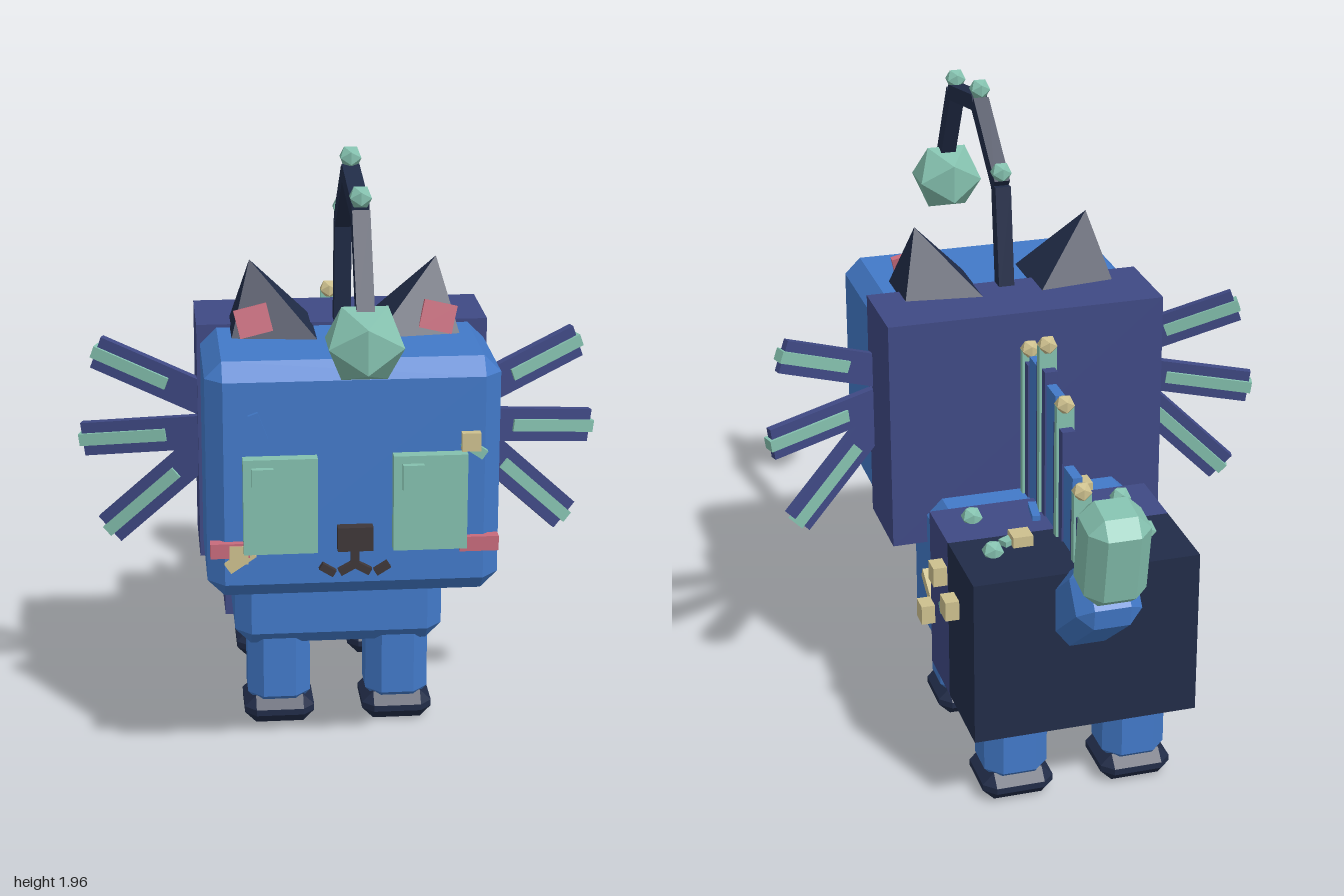
import * as THREE from 'three';
import { ConvexGeometry } from 'three/addons/geometries/ConvexGeometry.js';

export function createModel() {
  const model = new THREE.Group();
  model.name = 'robotCat';
  const mat = (name, color) => {
    const m = new THREE.MeshStandardMaterial({ color });
    m.name = name;
    return m;
  };
  const blue = mat('blue', 0x4279c8);
  const indigo = mat('indigo', 0x3f4984);
  const navy = mat('navy', 0x212c48);
  const teal = mat('teal', 0x84c0ae);
  const sand = mat('sand', 0xcdc08e);
  const pink = mat('pink', 0xc76a7b);
  const brown = mat('brown', 0x3e3638);

  const add = (name, geo, m, pos, rot = [0, 0, 0], parent = model) => {
    const mesh = new THREE.Mesh(geo, m);
    mesh.name = name;
    mesh.position.set(...pos);
    mesh.rotation.set(...rot);
    parent.add(mesh);
    return mesh;
  };
  const box = (name, size, m, pos, rot, parent) =>
    add(name, new THREE.BoxGeometry(...size), m, pos, rot, parent);
  const gem = (name, r, m, pos) => add(name, new THREE.IcosahedronGeometry(r, 0), m, pos);

  // Box with every edge cut by a single chamfer
  const chamferBox = (w, h, d, c) => {
    const pts = [];
    for (const sx of [-1, 1]) for (const sy of [-1, 1]) for (const sz of [-1, 1])
      for (let axis = 0; axis < 3; axis++) {
        const cut = [c, c, c];
        cut[axis] = 0;
        pts.push(new THREE.Vector3(sx * (w / 2 - cut[0]), sy * (h / 2 - cut[1]), sz * (d / 2 - cut[2])));
      }
    return new ConvexGeometry(pts);
  };

  // Square bar between two points
  const bar = (name, a, b, w, d, m) => {
    const p = new THREE.Vector3(...a), q = new THREE.Vector3(...b);
    const dir = q.clone().sub(p);
    const mesh = box(name, [w, dir.length(), d], m, p.clone().add(q).multiplyScalar(0.5).toArray());
    mesh.quaternion.setFromUnitVectors(new THREE.Vector3(0, 1, 0), dir.normalize());
    return mesh;
  };

  // Body
  add('body', chamferBox(0.66, 0.5, 0.6, 0.05), blue, [0, 0.53, -0.16]);
  box('bodyBand', [0.7, 0.53, 0.22], indigo, [0, 0.535, -0.285]);
  box('rump', [0.7, 0.53, 0.29], navy, [0, 0.535, -0.535]);

  // Head
  add('head', chamferBox(0.86, 0.72, 0.55, 0.05), blue, [0, 1.007, 0.35]);
  box('headBack', [0.88, 0.742, 0.28], indigo, [0, 1.006, 0.08]);

  for (const s of [-1, 1]) {
    // Legs and feet
    for (const [end, z] of [['front', 0.01], ['back', -0.515]]) {
      add(end + 'Leg', chamferBox(0.2, 0.32, 0.2, 0.048), blue, [s * 0.19, 0.21, z]);
      add(end + 'Foot', chamferBox(0.224, 0.092, 0.224, 0.036), navy, [s * 0.19, 0.046, z]);
    }

    // Ears, leaning outward
    const ear = new THREE.ConeGeometry(0.195, 0.25, 4, 1).rotateY(Math.PI / 4).toNonIndexed();
    ear.computeVertexNormals();
    add('ear', ear, navy, [s * 0.251, 1.458, 0.235], [0, 0, -s * 0.23]);
    box('innerEar', [0.1, 0.085, 0.02], pink, [s * 0.275, 1.418, 0.334], [-0.2, 0, -s * 0.23]);

    // Eyes and cheeks
    box('eye', [0.216, 0.29, 0.05], teal, [s * 0.218, 0.95, 0.637]);
    box('eyeGlint', [0.062, 0.078, 0.02], teal, [s * 0.218 - 0.052, 1.033, 0.671]);
    box('cheek', [0.115, 0.045, 0.035], pink, [s * 0.365, 0.812, 0.628]);

    // Mouth
    bar('mouthInner', [0, 0.758, 0.633], [s * 0.045, 0.733, 0.633], 0.022, 0.022, brown);
    bar('mouthOuter', [s * 0.06, 0.73, 0.633], [s * 0.1, 0.755, 0.633], 0.022, 0.022, brown);

    // Fan of whisker plates, swept backward
    for (const [y, angle, len] of [[1.136, 0.36, 0.36], [1.03, -0.13, 0.39], [0.977, -0.75, 0.42]]) {
      const whisker = new THREE.Group();
      whisker.name = 'whisker';
      whisker.position.set(s * 0.42, y, 0.185);
      whisker.rotation.set(0, s * 0.3, s * angle);
      box('whiskerPlate', [len, 0.105, 0.025], indigo, [s * len / 2, 0, 0], undefined, whisker);
      box('whiskerStrip', [len - 0.11, 0.038, 0.042], teal, [s * (len / 2 + 0.065), 0, 0], undefined, whisker);
      model.add(whisker);
    }

    // Studs on the back
    for (const z of [-0.5, -0.265]) gem('backStud', 0.035, teal, [s * 0.24, 0.81, z]);
  }

  // Nose
  box('nose', [0.104, 0.073, 0.05], brown, [0, 0.842, 0.635]);
  box('mouthStem', [0.024, 0.06, 0.022], brown, [0, 0.782, 0.633]);

  // Antenna with jewelled joints and a hanging ball
  const path = [[0, 1.34, 0.19], [0, 1.69, 0.23], [0, 1.89, 0.47], [0, 1.84, 0.765], [0, 1.57, 0.91]];
  for (let i = 0; i < path.length - 1; i++) bar('antennaSegment', path[i], path[i + 1], 0.05, 0.05, navy);
  for (const [x, y, z] of path.slice(1, 4)) gem('antennaJoint', 0.035, teal, [x, y + 0.043, z]);
  gem('antennaBall', 0.122, teal, [0, 1.507, 0.897]);

  // Tail
  add('tail', chamferBox(0.2, 0.4, 0.2, 0.045), blue, [0, 0.713, -0.72], [-0.907, 0, 0]);
  add('tailTip', chamferBox(0.188, 0.3, 0.188, 0.045), teal, [0, 0.97, -0.893], [-0.17, 0, 0]);

  // Row of spine plates: ribbed indigo plates with blue ones between
  for (const [z, top, tip] of [[-0.085, 1.23, 1.265], [-0.263, 1.28, 1.35], [-0.438, 1.16, 1.23], [-0.61, 0.95, 1.025]]) {
    box('spinePlate', [0.04, top - 0.7, 0.09], indigo, [0, (top + 0.7) / 2, z]);
    box('spineRod', [0.055, tip - 0.7, 0.024], teal, [0, (tip + 0.7) / 2, z]);
    gem('spineTip', 0.032, sand, [0, tip, z]);
  }
  for (const [z, top] of [[-0.175, 1.26], [-0.35, 1.24], [-0.525, 1.05]])
    box('spineFiller', [0.03, top - 0.7, 0.09], blue, [0, (top + 0.7) / 2, z]);

  // Cubes scattered on the flanks, back and face
  for (const p of [[0.362, 0.68, -0.35], [0.362, 0.635, -0.487], [0.362, 0.465, -0.193],
    [-0.362, 0.61, -0.35], [-0.362, 0.69, -0.2], [0.14, 0.803, -0.453], [-0.155, 0.785, -0.127]])
    box('cube', [0.062, 0.062, 0.062], sand, p);
  box('faceCube', [0.055, 0.055, 0.03], sand, [0.337, 1.127, 0.635]);
  box('faceCube', [0.055, 0.055, 0.03], sand, [-0.34, 0.8, 0.635]);

  // Strips scattered on the flanks, back and face
  const strips = [
    [sand, [0.03, 0.036, 0.11], [0.335, 0.505, -0.11], [-0.5, 0, 0]],
    [teal, [0.03, 0.036, 0.1], [0.355, 0.59, -0.395], [0.65, 0, 0]],
    [teal, [0.03, 0.036, 0.1], [-0.34, 0.49, -0.07], [0.3, 0, 0]],
    [teal, [0.12, 0.024, 0.033], [-0.18, 0.805, -0.52], [0, 0.2, 0]],
    [teal, [0.1, 0.024, 0.033], [0.155, 0.805, -0.435], [0, 0.5, 0]],
    [sand, [0.1, 0.024, 0.033], [-0.145, 0.785, -0.165], [0, -0.8, 0]],
    [blue, [0.025, 0.024, 0.1], [0.045, 0.805, -0.28], [0, -0.15, 0]],
    [sand, [0.09, 0.034, 0.02], [-0.335, 0.78, 0.633], [0, 0, 0.6]],
    [teal, [0.075, 0.03, 0.02], [0.347, 1.105, 0.633], [0, 0, -0.6]],
    [blue, [0.03, 0.085, 0.02], [-0.28, 1.185, 0.628], [0, 0, 0.35]],
  ];
  for (const [m, size, pos, rot] of strips) box('strip', size, m, pos, rot);

  return model;
}
